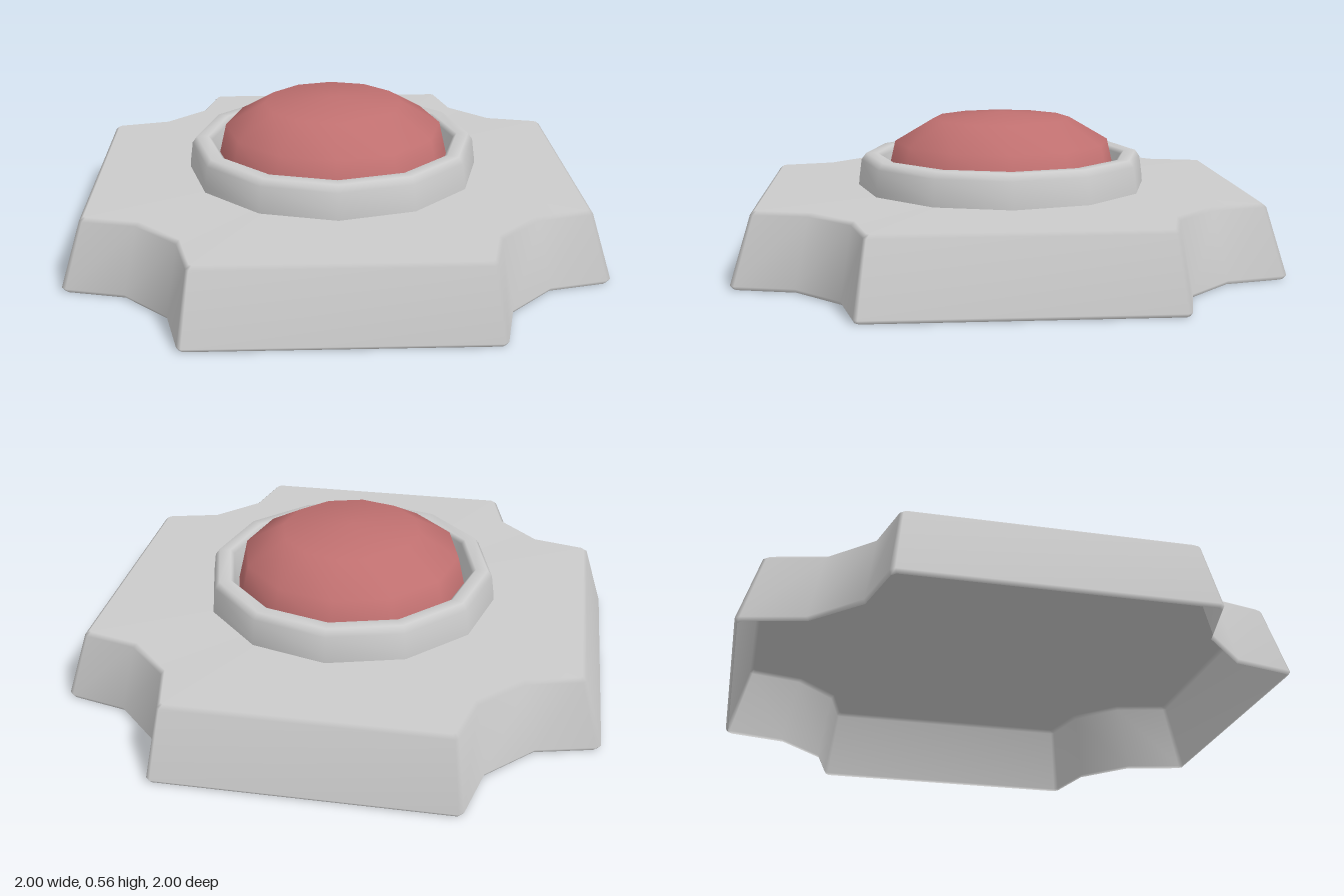
import * as THREE from 'three';
import { mergeVertices } from 'three/addons/utils/BufferGeometryUtils.js';

const SIDES = 12;
const material = (color) => new THREE.MeshStandardMaterial({ color, side: THREE.DoubleSide });

// Turned part with area-weighted smooth normals, so narrow bevels read as soft edges
function turned(name, profile, color) {
  let geo = new THREE.LatheGeometry(profile.map(([r, y]) => new THREE.Vector2(r, y)), SIDES);
  geo.deleteAttribute('normal');
  geo.deleteAttribute('uv');
  geo = mergeVertices(geo, 1e-4);
  geo.computeVertexNormals();
  const mesh = new THREE.Mesh(geo, material(color));
  mesh.name = name;
  return mesh;
}

// Outline of the notched square: one corner, turned four times.
// Each level gives the half width, flat half length and the notch point.
function outline({ w, f, c, n, m }) {
  const corner = [[w, f], [w - c, f + c], [m, n], [n, m], [f + c, w - c], [f, w]];
  const points = [];
  for (let q = 0; q < 4; q++) {
    for (let [x, z] of corner) {
      for (let k = 0; k < q; k++) [x, z] = [-z, x];
      points.push([x, z]);
    }
  }
  return points;
}

// Hollow base: sloped walls with a beveled rim and a top plate, open below
function basePlate() {
  const levels = [
    { y: 0, w: 0.99, f: 0.528, c: 0.016, n: 0.594, m: 0.762 },
    { y: 0.014, w: 1, f: 0.533, c: 0.016, n: 0.6, m: 0.768 },
    { y: 0.262, w: 0.925, f: 0.503, c: 0.012, n: 0.562, m: 0.717 },
    { y: 0.275, w: 0.91, f: 0.493, c: 0.01, n: 0.55, m: 0.705 },
  ];
  const positions = [], index = [];
  let count = 0;
  for (const level of levels) {
    const points = outline(level);
    count = points.length;
    for (const [x, z] of points) positions.push(x, level.y, z);
  }
  for (let l = 0; l < levels.length - 1; l++) {
    for (let i = 0; i < count; i++) {
      const a = l * count + i, b = l * count + (i + 1) % count;
      index.push(a, a + count, b, b, a + count, b + count);
    }
  }
  const centre = positions.length / 3, rim = centre - count;
  positions.push(0, 0.275, 0);
  for (let i = 0; i < count; i++) index.push(centre, rim + (i + 1) % count, rim + i);

  const geo = new THREE.BufferGeometry();
  geo.setAttribute('position', new THREE.Float32BufferAttribute(positions, 3));
  geo.setIndex(index);
  geo.computeVertexNormals();
  const mesh = new THREE.Mesh(geo, material(0xcccccc));
  mesh.name = 'base';
  return mesh;
}

export function createModel() {
  const group = new THREE.Group();
  group.name = 'pushButton';
  group.add(basePlate());

  // Collar around the button
  group.add(turned('collar', [
    [0.565, 0.275], [0.563, 0.3], [0.553, 0.375], [0.535, 0.4],
    [0.49, 0.4], [0.475, 0.385], [0.462, 0.275],
  ], 0xcccccc));

  // Domed push cap
  group.add(turned('buttonCap', [
    [0.46, 0.278], [0.445, 0.34], [0.42, 0.447], [0.268, 0.536], [0, 0.56],
  ], 0xc07070));

  return group;
}
